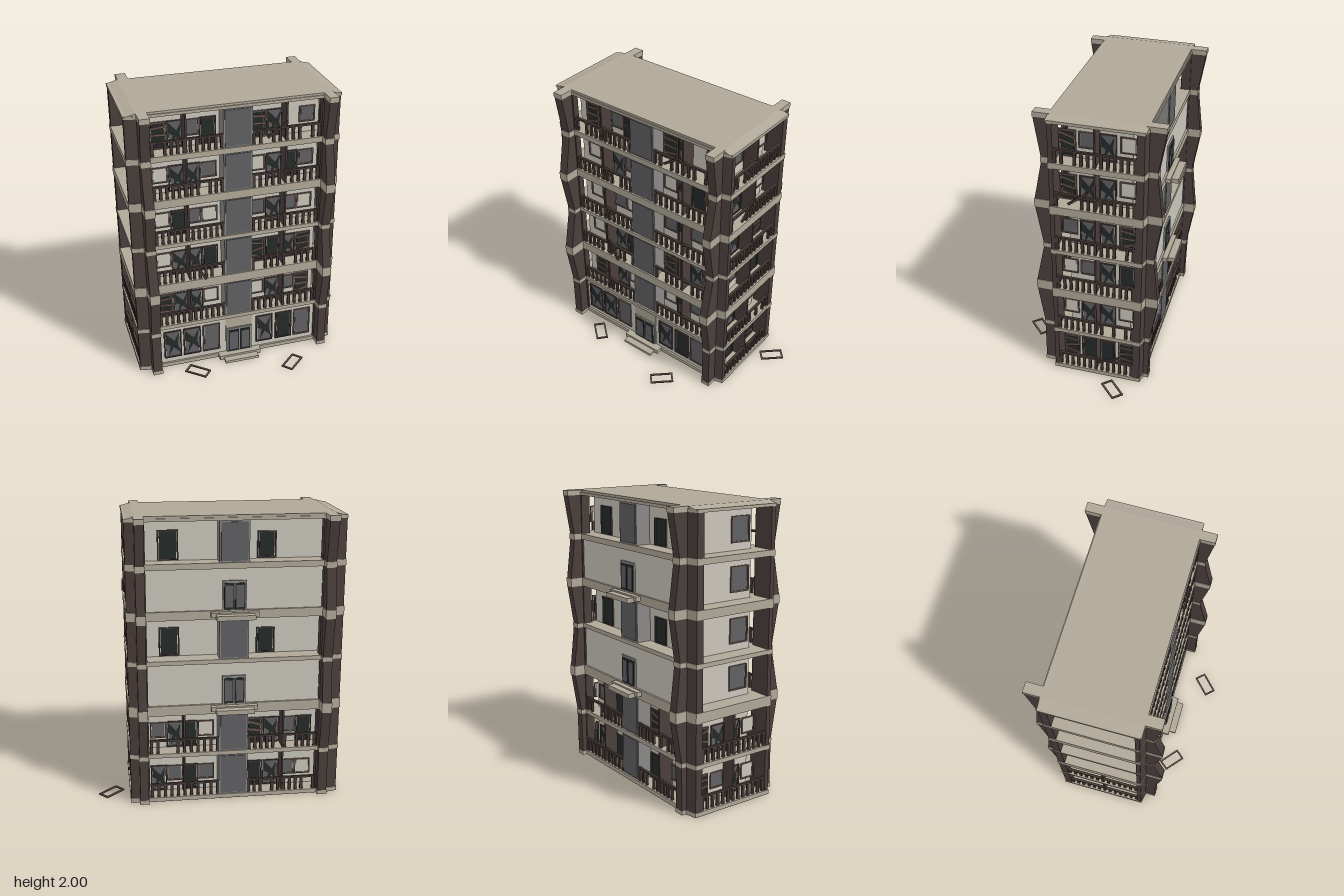
import * as THREE from 'three';

const mat = (color, side = THREE.FrontSide) =>
  new THREE.MeshStandardMaterial({ color, side, flatShading: true });
const M = {
  beige: mat(0xb0a898), brown: mat(0x4a3f3c), wall: mat(0xcac6bb), grey: mat(0x606063),
  dark: mat(0x252a29), trim: mat(0x8a8986), wood: mat(0x463a36), frame: mat(0x6a5750),
  hole: mat(0x252a29, THREE.DoubleSide), base: mat(0x505050),
};
// Floor tops and the ceilings above them
const FLOORS = [[0.03, 0.33], [0.36, 0.64], [0.71, 1.0], [1.03, 1.31], [1.37, 1.65], [1.69, 1.965]];
// Window kinds: B boarded, S shattered, G grey glass, D dark doorway, P pale blind, - none
const FRONT = ['', 'BSSPPSGB', 'PSSDBDSB', 'PDGPGSGP', 'PSSGPSDG', 'BSGDBS-G'];
const SIDE = ['BDDB', 'PSSP', 'PGSD', 'GSSB', 'BSSP', 'BGSP'];

let seed = 7;
const rnd = () => ((seed = (seed * 16807) % 2147483647) / 2147483647);

function add(parent, name, geo, material, x = 0, y = 0, z = 0) {
  const m = new THREE.Mesh(geo, material);
  m.name = name;
  m.position.set(x, y, z);
  parent.add(m);
  return m;
}
// Box from min/max corners
function box(parent, name, material, x0, x1, y0, y1, z0, z1) {
  return add(parent, name, new THREE.BoxGeometry(x1 - x0, y1 - y0, z1 - z0), material,
    (x0 + x1) / 2, (y0 + y1) / 2, (z0 + z1) / 2);
}
const shapeOf = pts => new THREE.Shape(pts.map(p => new THREE.Vector2(...p)));
// Plan outline (x, z) raised from y0 to y1
function prism(parent, name, material, pts, y0, y1) {
  const geo = new THREE.ExtrudeGeometry(shapeOf(pts.map(([x, z]) => [x, -z])),
    { depth: y1 - y0, bevelEnabled: false }).rotateX(-Math.PI / 2);
  return add(parent, name, geo, material, 0, y0, 0);
}
// Profile (z, y) spanning x0 to x1
function sideProfile(parent, name, material, pts, x0, x1) {
  const geo = new THREE.ExtrudeGeometry(shapeOf(pts),
    { depth: x1 - x0, bevelEnabled: false }).rotateY(-Math.PI / 2);
  return add(parent, name, geo, material, x1, 0, 0);
}

// Window facing +z, standing on its bottom centre
function windowUnit(parent, kind, u, y, z, w, h) {
  if (kind === '-') return;
  const g = new THREE.Group();
  g.name = 'window';
  g.position.set(u, y, z);
  parent.add(g);
  const pane = { B: M.dark, S: M.grey, G: M.grey, D: M.dark, P: M.wall }[kind];
  const fr = kind === 'S' || kind === 'D' ? M.wood : M.frame;
  const t = 0.009;
  box(g, 'pane', pane, -w / 2 + t, w / 2 - t, t, h - t, 0, 0.004);
  for (const s of [-1, 1]) box(g, 'frameSide', fr, s * w / 2 - t / 2, s * w / 2 + t / 2, 0, h, 0, 0.01);
  for (const v of [0, h - t]) box(g, 'frameRail', fr, -w / 2, w / 2, v, v + t, 0, 0.01);
  if (kind === 'S') { // jagged hole in the glass
    const star = [[-.45, .95], [.1, .62], [.42, .95], [.3, .5], [.45, .15], [.05, .38], [-.3, .05], [-.15, .45], [-.45, .55]];
    add(g, 'brokenHole', new THREE.ShapeGeometry(shapeOf(star.map(([a, b]) => [a * w, b * h]))), M.hole, 0, 0, 0.006);
  }
  if (kind === 'B') for (let i = 0; i < 3; i++) {
    const p = box(g, 'board', M.frame, -w / 2, w / 2, 0, 0.016, 0.005, 0.013);
    p.position.y = h * (0.25 + 0.27 * i);
    p.rotation.z = (rnd() - 0.5) * 0.6;
  }
}

// Balustrade between u0 and u1, some balusters missing
function railing(parent, u0, u1, y) {
  const g = new THREE.Group();
  g.name = 'railing';
  parent.add(g);
  box(g, 'topRail', M.wood, u0, u1, y + 0.088, y + 0.102, -0.026, -0.008);
  const n = Math.round((u1 - u0) / 0.046);
  for (let i = 0; i <= n; i++) {
    const u = u0 + 0.01 + (u1 - u0 - 0.02) * i / n;
    if (i % n && rnd() < 0.12) continue;
    box(g, 'baluster', M.wood, u - 0.01, u + 0.01, y, y + 0.09, -0.024, -0.01);
  }
}

// A facade's frame: local z points outward, local x runs across it
function facade(root, name, x, z, turn) {
  const g = new THREE.Group();
  g.name = name;
  g.position.set(x, 0, z);
  g.rotation.y = turn;
  root.add(g);
  return g;
}
const DEEP = -0.118;
function windowRow(g, kinds, slots, y) {
  [...kinds].forEach((k, i) => {
    const low = k === 'D' || k === 'S' || k === 'B';
    windowUnit(g, k, slots[i], y + (low ? 0.004 : 0.075), DEEP, 0.105, low ? 0.19 : 0.115);
  });
}
function divider(g, u, y0, y1) { box(g, 'balconyDivider', M.brown, u - 0.006, u + 0.006, y0, y1, DEEP, -0.012); }
function centrePanel(g, u0, u1, y0, y1) {
  box(g, 'centreBay', M.trim, u0, u1, y0, y1, DEEP, -0.012);
  box(g, 'centrePanel', M.grey, u0 + 0.01, u1 - 0.01, y0 + 0.01, y1 - 0.01, -0.02, -0.006);
}
function doubleDoor(g, u, y, w, h, z) {
  box(g, 'doorFrame', M.trim, u - w / 2, u + w / 2, y, y + h, z, z + 0.012);
  for (const s of [-1, 1]) {
    const c = u + s * w * 0.23;
    box(g, 'doorLeaf', M.dark, c - w * 0.21, c + w * 0.21, y + 0.004, y + h - 0.016, z, z + 0.016);
    box(g, 'doorGlass', M.grey, c - w * 0.16, c + w * 0.16, y + 0.02, y + h - 0.03, z, z + 0.019);
  }
}

export function createModel() {
  const root = new THREE.Group();
  root.name = 'apartmentBlock';

  // Slabs with clipped corners, and the roof
  const plan = [[-.85, .2], [-.77, .215], [.55, .215], [.62, .2], [.62, -.43], [.55, -.445], [-.77, -.445], [-.85, -.43]];
  const bands = [[0.002, 0.03], [0.33, 0.36], [0.64, 0.71], [1.0, 1.03], [1.31, 1.37], [1.65, 1.69], [1.965, 1.985]];
  bands.forEach(([a, b]) => prism(root, 'floorSlab', M.beige, plan, a, b));
  prism(root, 'underside', M.base, plan, 0, 0.002);
  const roof = new THREE.ExtrudeGeometry(shapeOf([[-.85, 1.98], [.62, 1.98], [.55, 2], [-.77, 2]]),
    { depth: 0.645, bevelEnabled: false });
  add(root, 'roof', roof, M.beige, 0, 0, -0.437);

  // Inner block behind the balconies
  box(root, 'innerWalls', M.wall, -0.73, 0.502, 0.02, 1.97, -0.327, 0.097);

  // Corner columns
  for (const [xo, xc, xi] of [[-.846, -.77, -.69], [.616, .55, .485]])
    for (const [zi, zm, zo] of [[.165, .196, .211], [-.375, -.426, -.441]])
      prism(root, 'cornerColumn', M.brown, [[xo, zi], [xo, zm], [xc, zo], [xi, zo], [xi, zi]], 0.02, 1.97);

  // Flared fins: reach at each band, front and back
  const fz = [.285, .285, .33, .27, .32, .265, .308], bz = [-.475, -.48, -.525, -.492, -.535, -.5, -.545];
  for (const [x0, x1] of [[-.765, -.7], [.495, .555]])
    for (const [reach, root0, e] of [[fz, .19, .003], [bz, -.42, -.003]])
      bands.forEach(([a, b], i) => {
        const top = i === 6 ? 2 : b;
        box(root, 'finBand', M.beige, x0 - .003, x1 + .003, i ? a : 0, top,
          Math.min(root0, reach[i] + e), Math.max(root0, reach[i] + e));
        if (i < 6) sideProfile(root, 'fin', M.brown,
          [[root0, b], [reach[i], b], [reach[i + 1], bands[i + 1][0]], [root0, bands[i + 1][0]]], x0, x1);
      });

  const front = facade(root, 'frontFacade', 0, 0.215, 0);
  const back = facade(root, 'backFacade', 0, -0.445, Math.PI);
  const right = facade(root, 'sideFacadeEast', 0.62, 0, Math.PI / 2);
  const left = facade(root, 'sideFacadeWest', -0.85, 0, -Math.PI / 2);
  const slots = [-.615, -.5, -.395, -.28, .065, .185, .3, .415];
  const backSlots = slots.map(s => s + 0.2);

  FLOORS.forEach(([y0, y1], f) => {
    // Front balconies
    if (f) {
      centrePanel(front, -0.2, 0, y0, y1);
      windowRow(front, FRONT[f], slots, y0);
      divider(front, -0.45, y0, y1);
      divider(front, 0.24, y0, y1);
      railing(front, -0.685, -0.2, y0);
      railing(front, 0, 0.48, y0);
    }
    // East side balconies
    windowRow(right, SIDE[f], [-.1, .03, .165, .3], y0);
    divider(right, 0.105, y0, y1);
    railing(right, -0.165, 0.375, y0);
    // West side: railed below, bare above
    if (f < 2) {
      windowRow(left, SIDE[5 - f], [-.3, -.165, -.03, .1], y0);
      divider(left, -0.105, y0, y1);
      railing(left, -0.375, 0.165, y0);
    } else windowUnit(left, 'G', 0.0, y0 + 0.05, DEEP, 0.14, 0.17);
    // Back: railed balconies, then blank walls alternating with open loggias
    if (f === 2 || f === 4) {
      box(back, 'blankWall', M.wall, -0.49, 0.695, y0, y1, DEEP, -0.014);
      doubleDoor(back, 0.1, y0, 0.16, 0.2, -0.014);
      box(back, 'backLedge', M.beige, -0.06, 0.26, y0 - 0.04, y0 - 0.008, -0.01, 0.035);
      box(back, 'backLedgeTip', M.beige, -0.03, 0.23, y0 - 0.05, y0 - 0.018, -0.01, 0.085);
    } else {
      centrePanel(back, 0, 0.2, y0, y1);
      if (f < 2) {
        windowRow(back, f ? 'GSDPBSGD' : 'SGDGDSGP', backSlots, y0);
        divider(back, -0.24, y0, y1);
        divider(back, 0.45, y0, y1);
        railing(back, -0.48, 0, y0);
        railing(back, 0.2, 0.685, y0);
      } else {
        windowUnit(back, 'D', -0.33, y0 + 0.004, DEEP, 0.13, 0.2);
        windowUnit(back, 'D', 0.33, y0 + 0.004, DEEP, 0.12, 0.18);
      }
    }
  });

  // Street-level shopfront with entrance and steps
  box(front, 'shopWall', M.wall, -0.695, 0.49, 0.03, 0.33, DEEP, -0.014);
  [-.6, -.455, -.31, .097, .247, .392].forEach((u, i) =>
    windowUnit(front, 'SSGSDG'[i], u, 0.07, -0.014, 0.12, 0.23));
  box(front, 'entranceSurround', M.beige, -0.2, 0, 0.03, 0.33, -0.03, -0.009);
  doubleDoor(front, -0.1, 0.035, 0.19, 0.205, -0.009);
  box(front, 'upperStep', M.beige, -0.26, 0.055, 0, 0.035, -0.01, 0.045);
  box(front, 'lowerStep', M.beige, -0.23, 0.025, 0, 0.02, -0.01, 0.095);

  // Loose planks leaning on railings
  for (const [g, u, y, a] of [[front, 0.17, 1.78, 0.6], [front, -0.38, 0.78, -1.1], [right, 0.0, 1.46, 0.65], [right, 0.2, 0.15, 0.4]]) {
    const p = add(g, 'loosePlank', new THREE.BoxGeometry(0.17, 0.016, 0.012), M.wood, u, y, 0.002);
    p.rotation.z = a;
  }

  // Window frames fallen on the ground
  for (const [x, z, turn] of [[-.45, .34, -.71], [.24, .44, .75], [.75, -.265, .75]]) {
    const g = new THREE.Group();
    g.name = 'fallenFrame';
    g.position.set(x, 0.008, z);
    g.rotation.y = turn;
    for (const s of [-1, 1]) {
      add(g, 'longBar', new THREE.BoxGeometry(0.168, 0.01, 0.012), M.frame, 0, 0, s * 0.038);
      add(g, 'shortBar', new THREE.BoxGeometry(0.012, 0.01, 0.076), M.frame, s * 0.078, 0, 0);
    }
    root.add(g);
  }
  return root;
}
